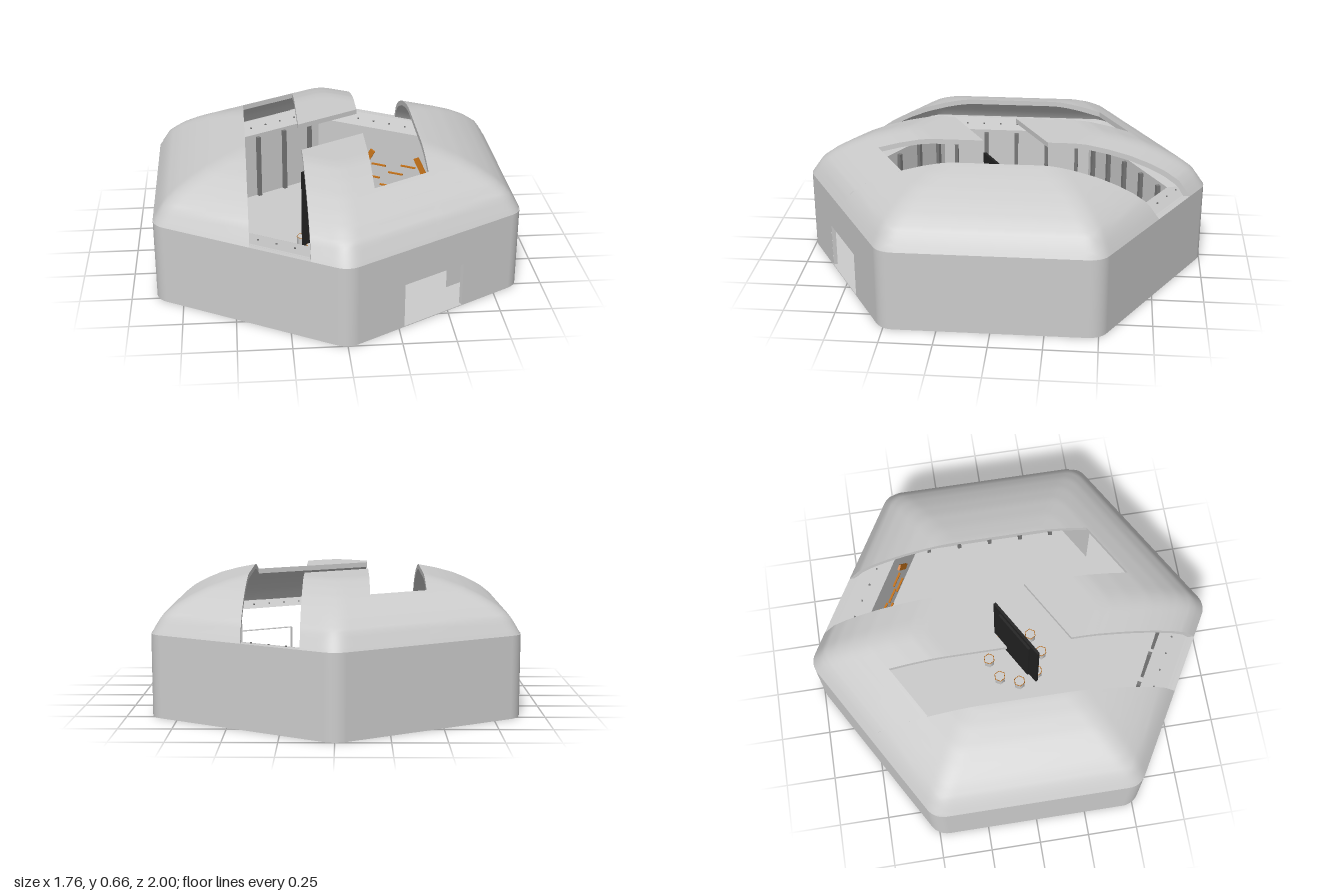
import * as THREE from 'three';

const T30 = Math.tan(Math.PI / 6), C30 = Math.cos(Math.PI / 6);
const AP = 0.88, R = 0.1, WALL = 0.4; // outer apothem, corner radius, wall height
const DOOR = { l: -0.19, r: 0.16, h: 0.225 };
const mat = (color = 0xcccccc, extra = {}) => new THREE.MeshStandardMaterial({ color, ...extra });
const grey = mat();
const greyThin = mat(0xcccccc, { side: THREE.DoubleSide });
const flatThin = mat(0xcccccc, { side: THREE.DoubleSide, flatShading: true });
const black = mat(0x222222);
const darkGrey = mat(0x777777);
const orange = mat(0xc8741a);

function add(parent, name, geo, material, x = 0, y = 0, z = 0) {
  const m = new THREE.Mesh(geo, material);
  m.name = name;
  m.position.set(x, y, z);
  parent.add(m);
  return m;
}

// Apothem of the rounded hexagon passing through (x, z)
function hexDist(x, z) {
  let u = -1, v = 0;
  for (let k = 0; k < 6; k++) {
    const t = (k + 0.5) * Math.PI / 3, d = x * Math.sin(t) + z * Math.cos(t);
    if (d > u) { u = d; v = Math.abs(x * Math.cos(t) - z * Math.sin(t)); }
  }
  if (v <= (u - R) * T30 || u < R) return u;
  const p = u + v * T30, q = 1 + T30 * T30;
  return R + (p - Math.sqrt(Math.max(0, p * p - q * (u * u + v * v - R * R)))) / q;
}

// Roof height by apothem
const PROFILE = [[0, 0.662], [0.38, 0.662], [0.435, 0.657], [0.525, 0.636], [0.62, 0.606],
  [0.7, 0.57], [0.77, 0.53], [0.83, 0.482], [0.88, 0.4], [0.98, 0.2]];
function roofY(x, z) {
  const d = hexDist(x, z);
  const i = Math.max(1, PROFILE.findIndex(p => p[0] >= d));
  const [a, b] = [PROFILE[i - 1], PROFILE[i]];
  return a[1] + (b[1] - a[1]) * (d - a[0]) / (b[0] - a[0]);
}
function roofNormal(x, z, e = 0.025) {
  return new THREE.Vector3(roofY(x - e, z) - roofY(x + e, z), 2 * e,
    roofY(x, z - e) - roofY(x, z + e)).normalize();
}
function rimZ(x) {
  let lo = 0, hi = 1.05;
  for (let i = 0; i < 40; i++) {
    const m = (lo + hi) / 2;
    if (hexDist(x, m) <= AP + 1e-6) lo = m; else hi = m;
  }
  return lo;
}

// Thick piece of roof over x0..x1 and zA(x)..zB(x)
function roofPiece(parent, name, x0, x1, zA, zB) {
  const nx = 24, nz = 64, n = (nx + 1) * (nz + 1), pos = [[], []], nor = [[], []], idx = [];
  for (let i = 0; i <= nx; i++) for (let j = 0; j <= nz; j++) {
    const x = x0 + (x1 - x0) * i / nx, a = zA(x), z = a + (zB(x) - a) * j / nz;
    const y = roofY(x, z), nn = roofNormal(x, z);
    pos[0].push(x, y, z);
    pos[1].push(x, Math.max(WALL, y - 0.025 / Math.max(nn.y, 0.5)), z);
    nor[0].push(nn.x, nn.y, nn.z);
    nor[1].push(-nn.x, -nn.y, -nn.z);
  }
  const id = (i, j) => i * (nz + 1) + j;
  for (let i = 0; i < nx; i++) for (let j = 0; j < nz; j++) {
    const a = id(i, j), b = id(i, j + 1), c = id(i + 1, j), d = id(i + 1, j + 1);
    idx.push(a, b, c, b, d, c, n + a, n + c, n + b, n + b, n + c, n + d);
  }
  const skin = new THREE.BufferGeometry();
  skin.setAttribute('position', new THREE.Float32BufferAttribute(pos.flat(), 3));
  skin.setAttribute('normal', new THREE.Float32BufferAttribute(nor.flat(), 3));
  skin.setIndex(idx);
  add(parent, name, skin, grey);
  // Cut edges
  const loop = [], rim = [];
  for (let i = 0; i < nx; i++) loop.push(id(i, 0));
  for (let j = 0; j < nz; j++) loop.push(id(nx, j));
  for (let i = nx; i > 0; i--) loop.push(id(i, nz));
  for (let j = nz; j > 0; j--) loop.push(id(0, j));
  loop.forEach((a, k) => {
    const b = loop[(k + 1) % loop.length];
    rim.push(a, b, n + a, b, n + b, n + a);
  });
  let edge = new THREE.BufferGeometry();
  edge.setAttribute('position', new THREE.Float32BufferAttribute(pos.flat(), 3));
  edge.setIndex(rim);
  edge = edge.toNonIndexed();
  edge.computeVertexNormals();
  add(parent, name + 'Edge', edge, greyThin);
}

// Rounded hexagon in plan
function hexShape() {
  const pts = [];
  for (let k = 0; k < 6; k++) for (let s = 0; s <= 6; s++) {
    const c = k * Math.PI / 3, t = c + (s / 6 - 0.5) * Math.PI / 3, q = (AP - R) / C30;
    pts.push(new THREE.Vector2(q * Math.sin(c) + R * Math.sin(t), q * Math.cos(c) + R * Math.cos(t)));
  }
  return new THREE.Shape(pts);
}

export function createModel() {
  const model = new THREE.Group();
  model.name = 'domedHall';

  // Roof with two offset slots joined by a slanted gap
  const roof = new THREE.Group();
  roof.name = 'roof';
  model.add(roof);
  const back = x => -rimZ(x), front = x => rimZ(x);
  roofPiece(roof, 'roofRight', -AP, -0.43, back, front);
  roofPiece(roof, 'roofBackPanel', -0.43, -0.16, back, x => -(0.617 + 0.5 * x) / C30);
  roofPiece(roof, 'backTongue', -0.16, 0.155, back, x => -0.13 - T30 * x);
  roofPiece(roof, 'frontTongue', -0.16, 0.155, x => 0.187 - T30 * x, front);
  roofPiece(roof, 'roofFrontPanel', 0.155, 0.43, x => (0.617 - 0.5 * x) / C30, front);
  roofPiece(roof, 'roofLeft', 0.43, AP, back, front);

  // Outer walls and rounded corners; the first face holds the doorway
  const half = (AP - R) * T30;
  for (let k = 0; k < 6; k++) {
    const face = new THREE.Group();
    face.name = 'wallSide';
    face.rotation.y = (k + 0.5) * Math.PI / 3;
    model.add(face);
    const pts = [[-half, 0]];
    if (k === 0) pts.push([DOOR.l, 0], [DOOR.l, DOOR.h], [DOOR.r, DOOR.h], [DOOR.r, 0]);
    pts.push([half, 0], [half, WALL], [-half, WALL]);
    const shape = new THREE.Shape(pts.map(p => new THREE.Vector2(...p)));
    add(face, 'outerWall', new THREE.ShapeGeometry(shape), grey, 0, 0, AP);
    const c = k * Math.PI / 3, q = (AP - R) / C30;
    add(model, 'wallCorner', new THREE.CylinderGeometry(R, R, WALL, 8, 1, true, c - Math.PI / 6, Math.PI / 3),
      grey, q * Math.sin(c), WALL / 2, q * Math.cos(c));

    // Rivets on the ledge and ribs on the inner wall
    for (let i = -4; i <= 4; i++)
      add(face, 'ledgeRivet', new THREE.CylinderGeometry(0.005, 0.005, 0.006, 6), darkGrey, i * 0.095, 0.388, 0.775);
    if (k === 0) {
      for (const x of [DOOR.l, DOOR.r])
        add(face, 'doorJamb', new THREE.BoxGeometry(0.004, DOOR.h, 0.02), grey, x, DOOR.h / 2, AP - 0.011);
      add(face, 'doorLintel', new THREE.BoxGeometry(DOOR.r - DOOR.l, 0.004, 0.02), grey,
        (DOOR.l + DOOR.r) / 2, DOOR.h, AP - 0.011);
      for (const s of [-1, 1])
        add(face, 'innerDoorWall', new THREE.PlaneGeometry(0.21, 0.375), greyThin, s * 0.305, 0.1875, 0.71);
    } else if (k !== 2) {
      for (let i = -2; i <= 2; i++)
        add(face, 'wallRib', new THREE.BoxGeometry(0.02, 0.36, 0.02), darkGrey, i * 0.17, 0.18, 0.7);
    }
  }

  // Sill under the roof, sloping ledge and inner walls
  const sill = hexShape(), hole = new THREE.Path();
  for (let k = 0; k < 6; k++) {
    const t = -k * Math.PI / 3, r = 0.855 / C30;
    hole[k ? 'lineTo' : 'moveTo'](r * Math.sin(t) * 0.985, r * Math.cos(t) * 0.985);
  }
  sill.holes.push(hole);
  add(model, 'sill', new THREE.ShapeGeometry(sill), greyThin, 0, WALL - 0.001, 0).rotation.x = Math.PI / 2;
  add(model, 'ledge', new THREE.CylinderGeometry(0.855 / C30, 0.71 / C30, 0.025, 6, 1, true),
    flatThin, 0, 0.387, 0);
  add(model, 'innerWalls', new THREE.CylinderGeometry(0.71 / C30, 0.71 / C30, 0.375, 5, 1, true,
    Math.PI / 3, Math.PI * 5 / 3), flatThin, 0, 0.1875, 0);

  // Floor slab
  const floor = new THREE.ExtrudeGeometry(hexShape(), { depth: 0.004, bevelEnabled: false });
  add(model, 'floor', floor, grey, 0, 0.004, 0).rotation.x = Math.PI / 2;

  // Orange strips and braces on the back wall
  const strips = [[0.33, 0.16], [0.42, 0.125], [0.3, 0.08], [0.485, 0.18], [0.5, 0.07], [0.375, 0.04]];
  const backWall = new THREE.Group();
  backWall.name = 'backWallTrim';
  backWall.rotation.y = -Math.PI / 6;
  backWall.position.set(0.355, 0, -0.615);
  model.add(backWall);
  for (const [x, y] of strips)
    add(backWall, 'trimStrip', new THREE.BoxGeometry(0.085, 0.008, 0.01), orange, (x - 0.355) / C30, y, 0.006);
  for (const [x, a] of [[0.23, 0.5], [-0.1, -0.5]])
    add(backWall, 'trimBrace', new THREE.BoxGeometry(0.03, 0.14, 0.012), orange, x, 0.18, 0.006).rotation.z = a;

  // Central screen with a ring of hexagonal posts
  const screen = new THREE.Group();
  screen.name = 'centralScreen';
  screen.position.set(0, 0, 0.035);
  screen.rotation.y = Math.PI / 6;
  model.add(screen);
  add(screen, 'screenPanel', new THREE.BoxGeometry(0.35, 0.44, 0.014), black, 0, 0.25, 0);
  add(screen, 'screenBack', new THREE.BoxGeometry(0.24, 0.4, 0.014), black, 0, 0.24, -0.012);
  for (let i = 0; i < 8; i++) {
    const a = i * Math.PI / 4, x = 0.148 * Math.cos(a), z = 0.03 + 0.14 * Math.sin(a);
    add(model, 'post', new THREE.CylinderGeometry(0.028, 0.028, 0.06, 6), grey, x, 0.034, z).rotation.y = Math.PI / 6;
    const ring = add(model, 'postRing', new THREE.TorusGeometry(0.029, 0.002, 4, 6), orange, x, 0.064, z);
    ring.rotation.x = Math.PI / 2;
  }
  return model;
}
